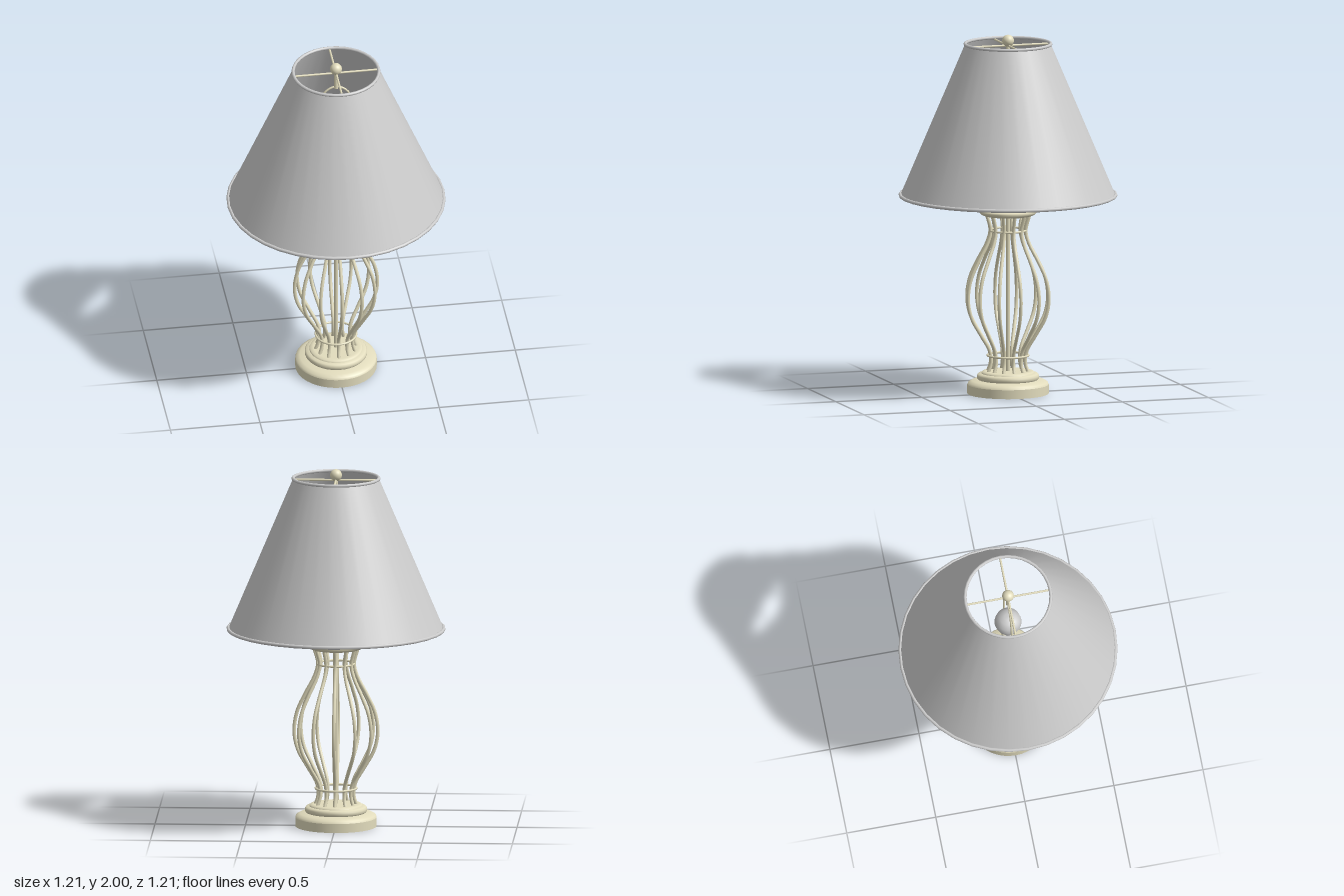
import * as THREE from 'three';

const cream = new THREE.MeshStandardMaterial({ color: 0xe2dcbd, side: THREE.DoubleSide });
const grey = new THREE.MeshStandardMaterial({ color: 0xcccccc, side: THREE.DoubleSide });

const V2 = (p) => new THREE.Vector2(p[0], p[1]);

export function createModel() {
  const lamp = new THREE.Group();
  lamp.name = 'tableLamp';

  const add = (name, geometry, material, x = 0, y = 0, z = 0) => {
    const mesh = new THREE.Mesh(geometry, material);
    mesh.name = name;
    mesh.position.set(x, y, z);
    lamp.add(mesh);
    return mesh;
  };

  // Turned part; repeated points keep an edge sharp
  const turned = (name, profile, material, segments = 40) =>
    add(name, new THREE.LatheGeometry(profile.map(V2), segments), material);

  // Horizontal ring
  const ring = (name, radius, tube, y, material, segments = 36) => {
    const geo = new THREE.TorusGeometry(radius, tube, 8, segments);
    geo.rotateX(Math.PI / 2);
    return add(name, geo, material, 0, y);
  };

  const rod = (name, radius, y0, y1) =>
    add(name, new THREE.CylinderGeometry(radius, radius, y1 - y0, 16), cream, 0, (y0 + y1) / 2);

  // Stepped base
  turned('base', [
    [0, 0], [0.225, 0], [0.225, 0], [0.225, 0.05], [0.225, 0.05], [0.22, 0.062], [0.2, 0.073],
    [0.165, 0.078], [0.165, 0.078], [0.172, 0.086], [0.172, 0.1], [0.165, 0.11],
    [0.147, 0.113], [0.147, 0.113], [0.143, 0.122], [0.125, 0.125], [0, 0.125],
  ], cream);

  // Cage of twelve bowed ribs
  const ribProfile = [
    [0.118, 0.11], [0.098, 0.17], [0.106, 0.24], [0.157, 0.33], [0.212, 0.43], [0.231, 0.53],
    [0.215, 0.64], [0.17, 0.74], [0.118, 0.84], [0.1, 0.91], [0.122, 1.0],
  ];
  const ribCurve = new THREE.CatmullRomCurve3(ribProfile.map(([r, y]) => new THREE.Vector3(r, y, 0)));
  const ribGeo = new THREE.TubeGeometry(ribCurve, 40, 0.01, 8);
  for (let i = 0; i < 12; i++) {
    add('rib', ribGeo, cream).rotation.y = (i * Math.PI) / 6;
  }
  ring('lowerCageRing', 0.113, 0.006, 0.212, cream);
  ring('upperCageRing', 0.101, 0.006, 0.91, cream);
  rod('centreRod', 0.012, 0.12, 1.0);

  // Domed cap over the cage
  turned('cap', [
    [0, 0.995], [0.138, 0.995], [0.138, 0.995], [0.153, 1.003], [0.162, 1.015], [0.155, 1.024],
    [0.13, 1.034], [0.11, 1.04], [0.075, 1.056], [0.04, 1.062], [0, 1.064],
  ], cream);

  // Stem, socket and switch
  rod('stem', 0.025, 1.05, 1.28);
  turned('socket', [
    [0, 1.265], [0.026, 1.265], [0.036, 1.28], [0.036, 1.28], [0.036, 1.4], [0.036, 1.4], [0, 1.4],
  ], cream, 24);
  const switchStem = add('switchStem', new THREE.CylinderGeometry(0.007, 0.007, 0.05, 10), cream, 0, 1.3, -0.05);
  switchStem.rotation.x = Math.PI / 2;
  add('switchKnob', new THREE.SphereGeometry(0.014, 14, 10), cream, 0, 1.3, -0.076);

  // Bulb
  turned('bulb', [
    [0.028, 1.4], [0.03, 1.43], [0.045, 1.47], [0.066, 1.51], [0.075, 1.55],
    [0.068, 1.59], [0.045, 1.615], [0.02, 1.624], [0, 1.625],
  ], grey, 28);

  // Wire harp around the bulb, joined to the finial rod
  const harpSide = [[0.02, 1.275], [0.075, 1.285], [0.11, 1.34], [0.122, 1.5], [0.11, 1.68], [0.06, 1.82]];
  const harpPoints = [
    ...harpSide.map(([x, y]) => new THREE.Vector3(-x, y, 0)),
    new THREE.Vector3(0, 1.85, 0),
    ...harpSide.map(([x, y]) => new THREE.Vector3(x, y, 0)).reverse(),
  ];
  add('harp', new THREE.TubeGeometry(new THREE.CatmullRomCurve3(harpPoints), 70, 0.006, 8), cream);
  rod('finialRod', 0.012, 1.84, 1.95);
  add('finial', new THREE.SphereGeometry(0.033, 24, 16), cream, 0, 1.967);

  // Crossed arms holding the shade
  for (let i = 0; i < 2; i++) {
    const arm = add('shadeArm', new THREE.CylinderGeometry(0.006, 0.006, 0.475, 8), cream, 0, 1.94);
    arm.rotation.set(i ? Math.PI / 2 : 0, 0, i ? 0 : Math.PI / 2);
  }

  // Conical shade with rolled rims
  turned('shade', [[0.594, 1.105], [0.236, 1.95]], grey, 36);
  ring('shadeBottomRim', 0.595, 0.01, 1.107, grey);
  ring('shadeTopRim', 0.237, 0.009, 1.949, grey);

  return lamp;
}
